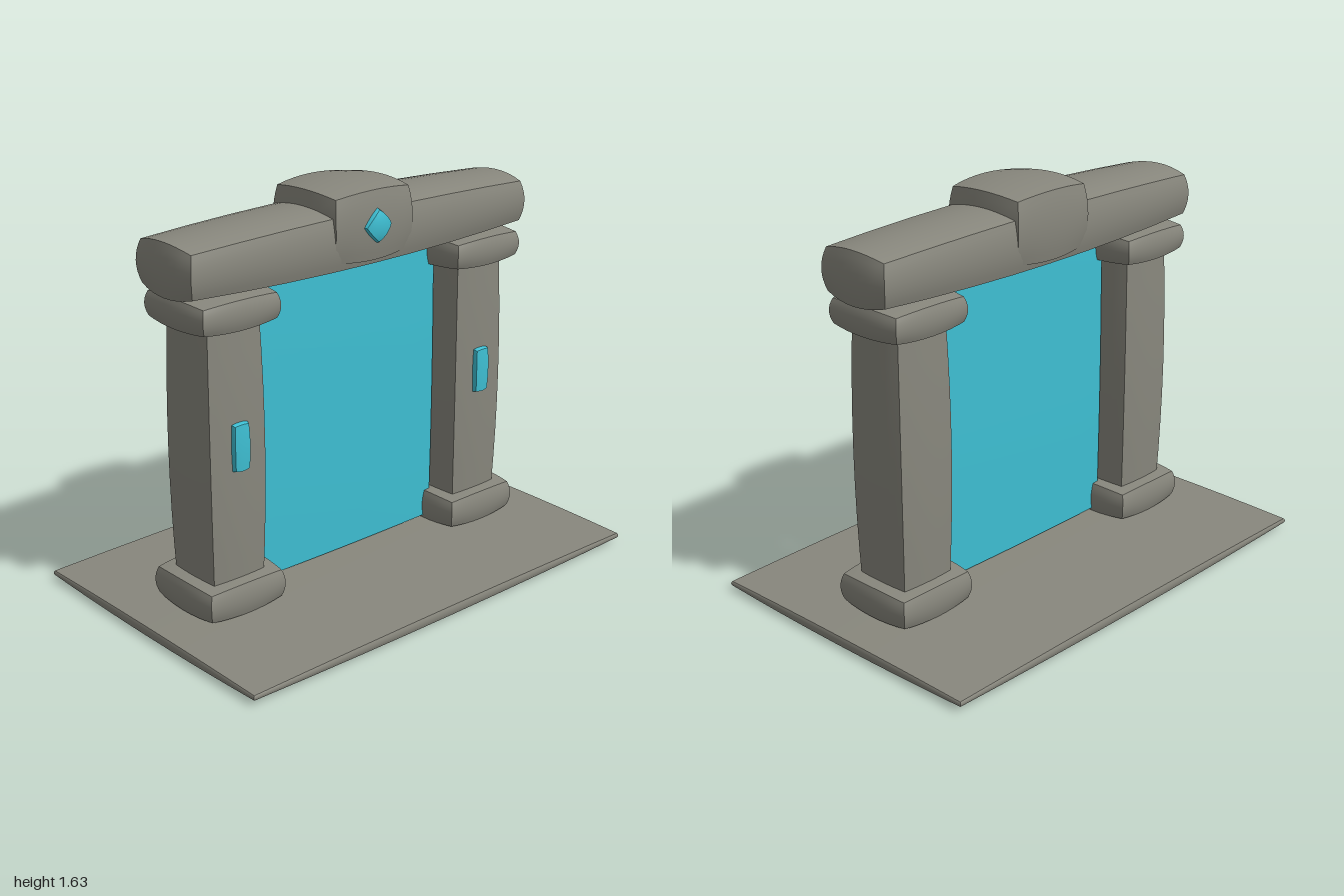
import * as THREE from 'three';

// Box with softly pillowed faces: half sizes are reached at the face centres,
// and each face drops by its bulge amount towards its corners.
function pillowBox(half, bulge, segments = 8) {
  const geo = new THREE.BoxGeometry(2, 2, 2, segments, segments, segments);
  const pos = geo.attributes.position;
  for (let i = 0; i < pos.count; i++) {
    const p = [pos.getX(i), pos.getY(i), pos.getZ(i)];
    const q = p.map((c, a) => {
      const u = p[(a + 1) % 3], v = p[(a + 2) % 3];
      return c * (half[a] - bulge[a] * (u * u + v * v) / 2);
    });
    pos.setXYZ(i, ...q);
  }
  geo.computeVertexNormals();
  return geo;
}

export function createModel() {
  const group = new THREE.Group();
  const stone = new THREE.MeshStandardMaterial({ color: 0x88877d });
  stone.name = 'stone';
  const glow = new THREE.MeshStandardMaterial({ color: 0x3ebfd3 });
  glow.name = 'glowing cyan';

  function add(name, material, centre, half, bulge) {
    const mesh = new THREE.Mesh(pillowBox(half, bulge), material);
    mesh.name = name;
    mesh.position.set(...centre);
    group.add(mesh);
    return mesh;
  }

  // Ground slab
  add('floorSlab', stone, [0, 0.03, 0], [1, 0.03, 0.655], [0.008, 0.02, 0.008]);

  // Pillars with base, capital and inset rune
  for (const [side, s] of [['left', 1], ['right', -1]]) {
    const x = 0.64 * s;
    add(side + 'PillarBase', stone, [x, 0.122, 0], [0.192, 0.074, 0.192], [0.022, 0.018, 0.022]);
    add(side + 'PillarShaft', stone, [x, 0.69, 0], [0.14, 0.56, 0.143], [0.02, 0.02, 0.022]);
    add(side + 'PillarCapital', stone, [x, 1.257, 0], [0.19, 0.067, 0.19], [0.022, 0.018, 0.022]);
    add(side + 'Rune', glow, [x, 0.735, 0.142], [0.038, 0.097, 0.024], [0.006, 0.008, 0.006]);
  }

  // Lintel and keystone
  add('lintel', stone, [0, 1.428, 0], [0.87, 0.127, 0.182], [0.028, 0.044, 0.03]);
  add('keystone', stone, [0, 1.48, 0], [0.208, 0.152, 0.2], [0.022, 0.03, 0.03]);

  // Diamond gem on the keystone
  const gem = add('keystoneGem', glow, [0, 1.48, 0.19], [0.053, 0.053, 0.031], [0.009, 0.009, 0.012]);
  gem.rotation.z = Math.PI / 4;

  // Glowing portal sheet
  add('portal', glow, [0, 0.675, 0], [0.492, 0.607, 0.018], [0.004, 0.004, 0.008]);

  return group;
}
